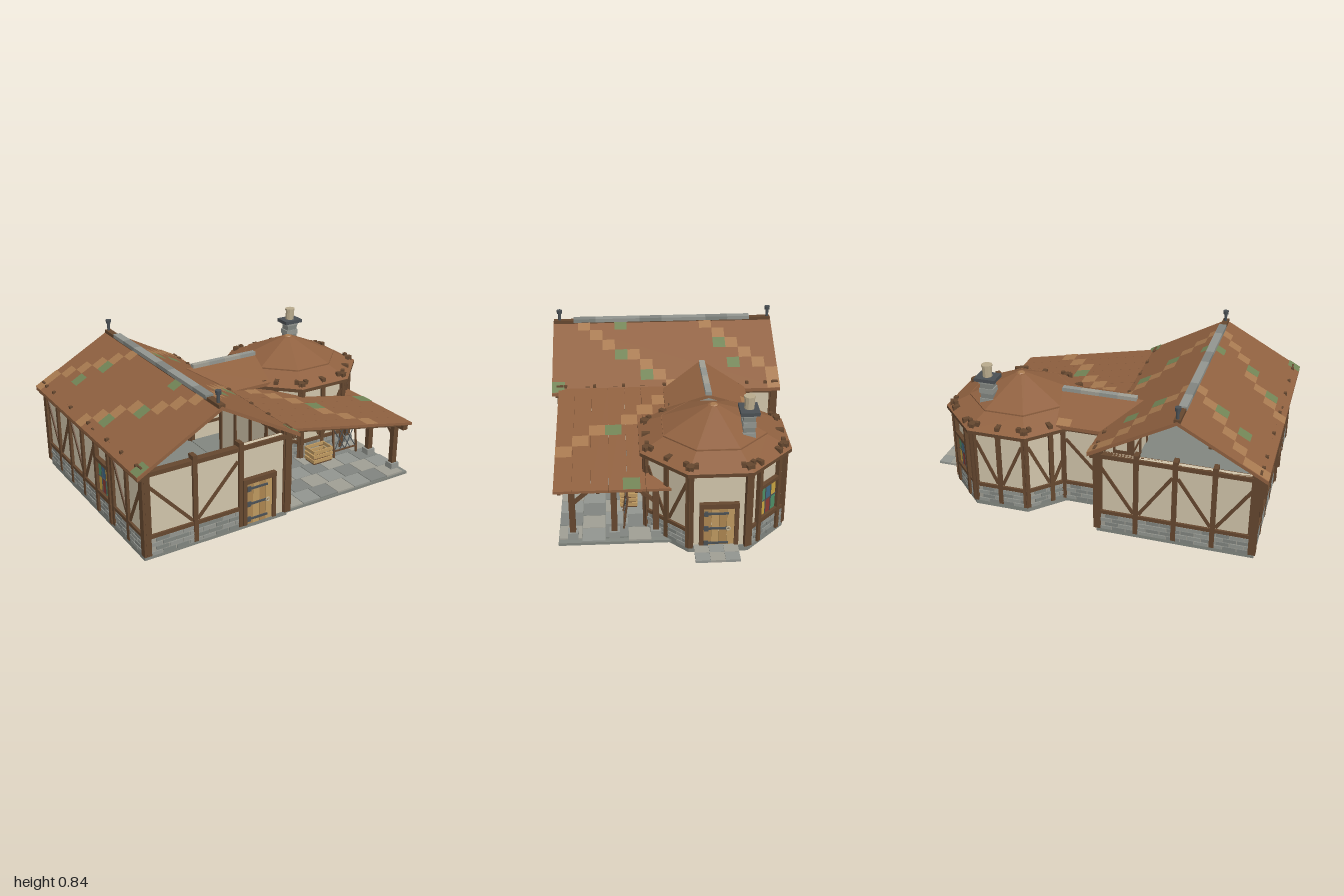
import * as THREE from 'three';
import { mergeGeometries } from 'three/addons/utils/BufferGeometryUtils.js';
import { ConvexGeometry } from 'three/addons/geometries/ConvexGeometry.js';

const C = { timber: 0x65472f, roof: 0x906140, tile: 0xa87a50, moss: 0x728456, plaster: 0xd0c4aa, stone: 0x92958f,
  stone2: 0x80847f, mortar: 0x9f9e94, iron: 0x4a5054, oak: 0xbd985f, floor: 0x82867f, clay: 0xb8aa8c };
const V = (x, y, z) => new THREE.Vector3(x, y, z);
const mats = {};
const mat = (c, side = THREE.FrontSide) =>
  mats[c + '_' + side] ??= new THREE.MeshStandardMaterial({ color: c, side, flatShading: true });

function add(parent, name, geo, color, side) {
  const m = new THREE.Mesh(geo, mat(color, side));
  m.name = name;
  parent.add(m);
  return m;
}
function box(parent, name, color, w, h, d, x, y, z) {
  const m = add(parent, name, new THREE.BoxGeometry(w, h, d), color);
  m.position.set(x, y, z);
  return m;
}
function cyl(parent, name, color, r0, r1, h, x, y, z, n = 8) {
  const m = add(parent, name, new THREE.CylinderGeometry(r0, r1, h, n), color);
  m.position.set(x, y, z);
  return m;
}
// square timber between two points of the parent's own space
function beam(parent, name, a, b, t = 0.025, color = C.timber) {
  const m = box(parent, name, color, t, t, a.distanceTo(b), (a.x + b.x) / 2, (a.y + b.y) / 2, (a.z + b.z) / 2);
  m.quaternion.setFromRotationMatrix(new THREE.Matrix4().lookAt(b, a, V(0, 1, 0)));
}
// convex sheet of corners given a vertical thickness
const slab = (parent, name, pts, t, color) =>
  add(parent, name, new ConvexGeometry([...pts, ...pts.map(p => V(p.x, p.y - t, p.z))]), color);

// coloured shingles on a sloping rectangle: origin o, edges u and v, cells [i, j]
function shingles(parent, o, u, v, nu, nv, cells, color) {
  const up = u.clone().cross(v).normalize();
  if (up.y < 0) up.negate();
  const at = (i, j) => o.clone().addScaledVector(u, i / nu).addScaledVector(v, j / nv).addScaledVector(up, 0.004);
  const g = mergeGeometries(cells.map(([i, j]) => {
    const [a, b, c, d] = [at(i, j), at(i + 1, j), at(i + 1, j + 1), at(i, j + 1)];
    return new THREE.BufferGeometry().setFromPoints([a, b, c, a, c, d]);
  }));
  g.computeVertexNormals();
  add(parent, 'shingles', g, color, THREE.DoubleSide);
}

// plank door with frame, strap hinges and ring; local +z is outside
function door(parent, x) {
  const g = new THREE.Group(), w = 0.16;
  g.name = 'door';
  g.position.set(x, 0.04, 0.012);
  for (let i = 0; i < 4; i++)
    box(g, 'doorPlank', i % 2 ? C.oak : 0xab8550, w / 4 - 0.002, 0.24, 0.014, (i - 1.5) * w / 4, 0.12, 0.005);
  for (const s of [-1, 1]) box(g, 'doorJamb', C.timber, 0.022, 0.27, 0.04, s * (w / 2 + 0.011), 0.135, 0);
  box(g, 'doorLintel', C.timber, w + 0.044, 0.028, 0.045, 0, 0.256, 0);
  for (const y of [0.03, 0.12, 0.21]) {
    box(g, 'doorHinge', C.iron, w * 0.8, 0.011, 0.01, -w * 0.1, y, 0.014);
    box(g, 'hingePlate', C.iron, 0.022, 0.028, 0.012, -w * 0.42, y, 0.014);
  }
  const ring = add(g, 'doorRing', new THREE.TorusGeometry(0.01, 0.004, 6, 10), C.clay);
  ring.position.set(w * 0.3, 0.12, 0.02);
  parent.add(g);
}
// leaded window with coloured panes between full-height posts
function windowUnit(parent, x) {
  const g = new THREE.Group();
  g.name = 'window';
  g.position.set(x, 0.26, 0.012);
  const panes = [0xc9a540, 0x8c3a32, 0x4e8f66, 0x3f6a86];
  for (let i = 0; i < 3; i++) for (let j = 0; j < 2; j++)
    box(g, 'pane', panes[(i + j * 2) % 4], 0.042, 0.084, 0.01, (i - 1) * 0.045, (j - 0.5) * 0.088, 0);
  for (const s of [-1, 1]) {
    box(g, 'windowPost', C.timber, 0.024, 0.49, 0.04, s * 0.082, 0.02, 0);
    box(g, 'windowRail', C.timber, 0.17, 0.02, 0.04, 0, s * 0.098, 0);
    box(g, 'windowBar', C.iron, 0.005, 0.18, 0.016, s * 0.0225, 0, 0);
  }
  box(g, 'windowBar', C.iron, 0.14, 0.005, 0.016, 0, 0, 0);
  parent.add(g);
}
// timber-framed wall from a to b (x, z); the outside lies to the right of the line
function wall(parent, name, [ax, az], [bx, bz], bays, fit, fitX = 0) {
  const L = Math.hypot(bx - ax, bz - az), g = new THREE.Group();
  g.name = name;
  g.position.set((ax + bx) / 2, 0, (az + bz) / 2);
  g.rotation.y = Math.atan2(az - bz, bx - ax);
  parent.add(g);
  box(g, 'plaster', C.plaster, L, 0.465, 0.024, 0, 0.2675, -0.004);
  box(g, 'topPlate', C.timber, L + 0.02, 0.024, 0.04, 0, 0.488, 0);
  if (fit) fit(g, fitX);
  if (fit === door) return;
  // coursed stone plinth under a sill rail
  box(g, 'mortar', C.mortar, L, 0.1, 0.03, 0, 0.08, 0);
  const cols = Math.max(2, Math.round(L / 0.075)), w = L / cols, sets = [[], []];
  for (let r = 0; r < 4; r++) for (let c = 0; c < cols; c++) {
    const odd = r % 2, half = odd && c === cols - 1;
    const x = -L / 2 + w * (c + (half ? 0.75 : odd ? 1 : 0.5));
    sets[(c + r + (c >> 1)) % 2].push(new THREE.BoxGeometry((half ? w / 2 : w) - 0.006, 0.02, 0.012).translate(x, 0.043 + r * 0.025, 0.014));
  }
  sets.forEach((s, i) => add(g, 'plinthStones', mergeGeometries(s), i ? C.stone2 : C.stone));
  box(g, 'sillRail', C.timber, L, 0.02, 0.042, 0, 0.141, 0);
  // posts and alternating braces
  const b = L / bays;
  for (let i = 0; i <= bays && bays; i++) {
    box(g, 'post', C.timber, 0.026, 0.49, 0.046, -L / 2 + i * b, 0.28, 0);
    if (i === bays) break;
    const s = i % 2 ? 1 : -1, m = -L / 2 + (i + 0.5) * b, d = b / 2 - 0.015;
    beam(g, 'brace', V(m - s * d, 0.16, 0.006), V(m + s * d, 0.42, 0.006), 0.018);
  }
}

function mainHouse(root) {
  const g = new THREE.Group();
  g.name = 'mainHouse';
  root.add(g);
  // foundation with a framed cellar opening
  const rect = (x0, x1, y0, y1) => [[x0, y0], [x1, y0], [x1, y1], [x0, y1]].map(p => new THREE.Vector2(...p));
  const s = new THREE.Shape(rect(-0.955, -0.095, -0.617, 0.642));
  s.holes.push(new THREE.Path(rect(-0.71, -0.53, -0.49, -0.33)));
  add(g, 'foundation', new THREE.ExtrudeGeometry(s, { depth: 0.035, bevelEnabled: false }).rotateX(-Math.PI / 2), C.floor);
  box(g, 'cellarHatch', C.timber, 0.2, 0.012, 0.18, -0.62, 0.041, 0.41);
  for (const k of [-1, 1]) {
    box(g, 'hatchCurb', C.mortar, 0.02, 0.03, 0.16, -0.62 + k * 0.08, 0.018, 0.41);
    box(g, 'hatchCurb', C.mortar, 0.18, 0.03, 0.02, -0.62, 0.018, 0.41 + k * 0.07);
  }
  wall(g, 'frontWall', [-0.94, 0.62], [-0.4, 0.62], 2);
  wall(g, 'frontDoorWall', [-0.4, 0.62], [-0.11, 0.62], 0, door, -0.035);
  wall(g, 'porchWall', [-0.11, 0.62], [-0.11, -0.02], 4);
  wall(g, 'rearSideWall', [-0.11, -0.42], [-0.11, -0.64], 1);
  wall(g, 'backWall', [-0.11, -0.64], [-0.94, -0.64], 4);
  wall(g, 'sideWallRear', [-0.94, -0.64], [-0.94, 0.06], 4);
  wall(g, 'sideWindowWall', [-0.94, 0.06], [-0.94, 0.27], 0, windowUnit);
  wall(g, 'sideWallFront', [-0.94, 0.27], [-0.94, 0.62], 2);
  for (const x of [-0.945, -0.105]) for (const z of [-0.645, 0.622]) box(g, 'cornerPost', C.timber, 0.04, 0.5, 0.04, x, 0.285, z);
  // two roof slopes, open at the gables
  const ridge = -0.527, light = [];
  for (let i = 0; i < 7; i++) light.push([i, Math.max(i - 1, 0)], [i, Math.round(i * 1.25 + 7.6)]);
  const moss = [[2, 3], [4, 4], [1, 10], [3, 12], [0, 17], [6, 12]];
  for (const sx of [-1, 1]) {
    const eave = ridge + sx * 0.472;
    slab(g, 'roofSlope', [V(eave, 0.505, -0.675), V(eave, 0.505, 0.67), V(ridge, 0.765, 0.67), V(ridge, 0.765, -0.675)], 0.02, C.roof);
    const u = V(ridge - eave, 0.26, 0), v = V(0, 0, 1.345);
    shingles(g, V(eave, 0.505, -0.675), u, v, 7, 18, light, C.tile);
    shingles(g, V(eave, 0.506, -0.675), u, v, 7, 18, moss, C.moss);
    box(g, 'eavePlate', C.timber, 0.022, 0.018, 1.31, eave - sx * 0.02, 0.48, -0.005);
    for (const z of [-0.59, -0.48, -0.23, 0.01, 0.25, 0.42, 0.59]) box(g, 'rafterPeg', C.timber, 0.018, 0.03, 0.018, eave - sx * 0.037, 0.52, z);
  }
  box(g, 'ridgeBeam', C.timber, 0.035, 0.03, 1.34, ridge, 0.76, -0.002);
  for (let i = 0; i < 8; i++)
    box(g, 'ridgeCap', i % 3 === 1 ? C.stone2 : C.stone, 0.045, 0.022, 0.136, ridge, 0.774, -0.473 + i * 0.136);
  for (const z of [-0.655, 0.632]) {
    cyl(g, 'finialRod', C.iron, 0.009, 0.009, 0.06, ridge, 0.79, z);
    cyl(g, 'finialCap', C.iron, 0.017, 0.015, 0.022, ridge, 0.829, z);
  }
}

function tower(root) {
  const g = new THREE.Group(), cx = 0.48, cz = -0.22, ap = 0.36;
  g.name = 'tower';
  root.add(g);
  const oct = (r0, r1, y0, y1, name, color, open = false) => {
    const k = 1 / Math.cos(Math.PI / 8);
    const m = add(g, name, new THREE.CylinderGeometry(r1 * k, r0 * k, y1 - y0, 8, 1, open).rotateY(Math.PI / 8), color, THREE.DoubleSide);
    m.position.set(cx, (y0 + y1) / 2, cz);
  };
  oct(0.375, 0.375, 0.005, 0.04, 'towerFloor', C.floor);
  // eight faces; the one towards the passage stays open
  for (let i = 0; i < 8; i++) {
    const t = i * Math.PI / 4, n = [Math.sin(t), Math.cos(t)], h = ap * Math.tan(Math.PI / 8);
    const p = s => [cx + n[0] * ap + s * h * n[1], cz + n[1] * ap - s * h * n[0]];
    if (i === 2) wall(g, 'towerDoorWall', p(-1), p(1), 0, door);
    else if (i === 3) wall(g, 'towerWindowWall', p(-1), p(1), 0, windowUnit);
    else if (i !== 6) wall(g, 'towerWall', p(-1), p(1), 2);
    const [x, z] = p(1);
    box(g, 'towerPost', C.timber, 0.04, 0.49, 0.04, x, 0.28, z).rotation.y = t + Math.PI / 8;
    for (const s of [-0.8, 0.8]) {
      const q = p(s);
      box(g, 'rafterPeg', C.timber, 0.022, 0.045, 0.022, q[0], 0.512, q[1]).rotation.y = t;
    }
  }
  // shallow skirt under a steeper cap
  oct(0.4, 0.4, 0.475, 0.495, 'eaveRing', C.timber, true);
  oct(0.4, 0.272, 0.495, 0.557, 'roofSkirt', C.roof, true);
  oct(0.274, 0.274, 0.552, 0.564, 'capRim', C.roof);
  oct(0.272, 0.03, 0.563, 0.68, 'roofCap', C.roof);
  cyl(g, 'roofKnob', C.tile, 0.018, 0.026, 0.008, cx, 0.682, cz);
  // chimney
  for (let i = 0; i < 6; i++)
    box(g, 'chimneyStone', i % 2 ? C.stone : C.stone2, 0.07 + (i % 2) * 0.012, 0.029, 0.062 + (i % 2) * 0.006, 0.61, 0.55 + i * 0.03, -0.39);
  box(g, 'chimneyCap', C.iron, 0.122, 0.02, 0.1, 0.61, 0.712, -0.39);
  cyl(g, 'chimneyPot', C.clay, 0.027, 0.027, 0.07, 0.61, 0.753, -0.39, 10);
  cyl(g, 'chimneyPotRim', C.clay, 0.031, 0.031, 0.01, 0.61, 0.787, -0.39, 10);
  // doorstep of flat stones
  for (let i = 0; i < 2; i++) for (let j = 0; j < 3; j++)
    box(g, 'doorstep', (i + j) % 2 ? C.stone : C.mortar, 0.069, 0.014, 0.076, 0.896 + i * 0.07, 0.05, -0.282 + j * 0.077);
}

function passage(root) {
  const g = new THREE.Group();
  g.name = 'passage';
  root.add(g);
  box(g, 'passageFloor', C.floor, 0.3, 0.03, 0.42, 0.03, 0.025, -0.22);
  wall(g, 'passageFrontWall', [-0.11, -0.02], [0.16, -0.02], 1);
  wall(g, 'passageBackWall', [0.16, -0.42], [-0.11, -0.42], 1);
  for (const s of [-1, 1]) {
    const z = -0.22 + s * 0.24;
    slab(g, 'passageRoof', [V(-0.24, 0.612, -0.22), V(0.23, 0.612, -0.22), V(0.19, 0.515, z), V(-0.06, 0.515, z)], 0.02, C.roof);
  }
  shingles(g, V(-0.05, 0.515, -0.46), V(0.24, 0, 0), V(0, 0.097, 0.24), 3, 5, [[2, 0]], C.tile);
  for (let i = 0; i < 4; i++) box(g, 'passageRidgeCap', i % 2 ? C.stone : C.mortar, 0.108, 0.022, 0.034, -0.148 + i * 0.108, 0.618, -0.22);
}

function porch(root) {
  const g = new THREE.Group();
  g.name = 'porch';
  root.add(g);
  // paving
  box(g, 'pavingBed', C.floor, 0.865, 0.016, 0.62, 0.3375, 0.02, 0.307);
  for (let j = 0; j < 5; j++) for (let i = 0; i < 7; i++)
    box(g, 'pavingStone', [C.stone, C.mortar, C.stone2][(i * 2 + j) % 3], 0.116, 0.012, 0.12, -0.04 + (j % 2) * 0.03 + i * 0.12, 0.031, 0.062 + j * 0.123);
  // planked lean-to roof, cut around the tower
  const P = (x, z) => V(x, 0.52 - (x + 0.08) * 0.2, z);
  for (let k = 0; k < 5; k++) {
    const z0 = 0.152 + k * 0.0958, z1 = z0 + 0.0948;
    slab(g, 'porchPlank', [P(-0.08, z0), P(0.77, z0), P(0.77, z1), P(-0.08, z1)], 0.015, C.roof);
  }
  slab(g, 'porchPlank', [P(-0.08, 0), P(0.17, 0), P(0.33, 0.15), P(-0.08, 0.15)], 0.015, C.roof);
  slab(g, 'porchPlank', [P(0.63, 0.15), P(0.77, 0.02), P(0.77, 0.15)], 0.015, C.roof);
  const o = P(-0.08, 0), u = P(0.77, 0).sub(o), v = V(0, 0, 0.63);
  shingles(g, o, u, v, 10, 7, [[1, 0], [2, 1], [3, 2], [4, 4], [5, 5], [6, 6]], C.tile);
  shingles(g, o, u, v, 10, 7, [[4, 3], [9, 2]], C.moss);
  // posts on stone feet, with plate, rafters and knee braces
  for (const z of [0.54, 0.32, 0.1]) {
    box(g, 'porchPost', C.timber, 0.032, 0.31, 0.032, 0.72, 0.185, z);
    box(g, 'postFoot', C.stone, 0.055, 0.04, 0.055, 0.72, 0.052, z);
  }
  beam(g, 'kneeBrace', V(0.72, 0.24, 0.1), V(0.72, 0.32, 0.19), 0.018);
  beam(g, 'kneeBrace', V(0.72, 0.24, 0.54), V(0.72, 0.32, 0.45), 0.018);
  box(g, 'porchPlate', C.timber, 0.032, 0.028, 0.6, 0.72, 0.328, 0.33);
  for (const z of [0.2, 0.4, 0.6]) beam(g, 'porchRafter', V(-0.08, 0.498, z), V(0.76, 0.33, z), 0.018);
  // slatted crate
  for (let i = 0; i < 3; i++) for (const s of [-1, 1]) {
    box(g, 'crateSlat', C.oak, 0.14, 0.02, 0.008, 0.4, 0.06 + i * 0.03, 0.24 + s * 0.045);
    box(g, 'crateSlat', C.oak, 0.008, 0.02, 0.09, 0.4 + s * 0.066, 0.06 + i * 0.03, 0.24);
  }
  box(g, 'crateBottom', C.timber, 0.13, 0.01, 0.09, 0.4, 0.045, 0.24);
  // lattice rack
  const rack = new THREE.Group();
  rack.name = 'latticeRack';
  rack.position.set(0.58, 0.04, 0.27);
  rack.rotation.x = -0.12;
  g.add(rack);
  for (const s of [-1, 1]) {
    box(rack, 'rackUpright', C.timber, 0.01, 0.19, 0.01, s * 0.085, 0.095, 0);
    box(rack, 'rackRail', C.timber, 0.17, 0.008, 0.01, 0, 0.11 + s * 0.07, 0);
    for (let i = -2; i < 1; i++)
      beam(rack, 'lath', V(s * i * 0.04, 0.04, 0), V(s * (i * 0.04 + 0.08), 0.18, 0), 0.004, C.iron);
  }
}

export function createModel() {
  const root = new THREE.Group();
  root.name = 'timberFramedHouse';
  for (const part of [mainHouse, tower, passage, porch]) part(root);
  return root;
}
